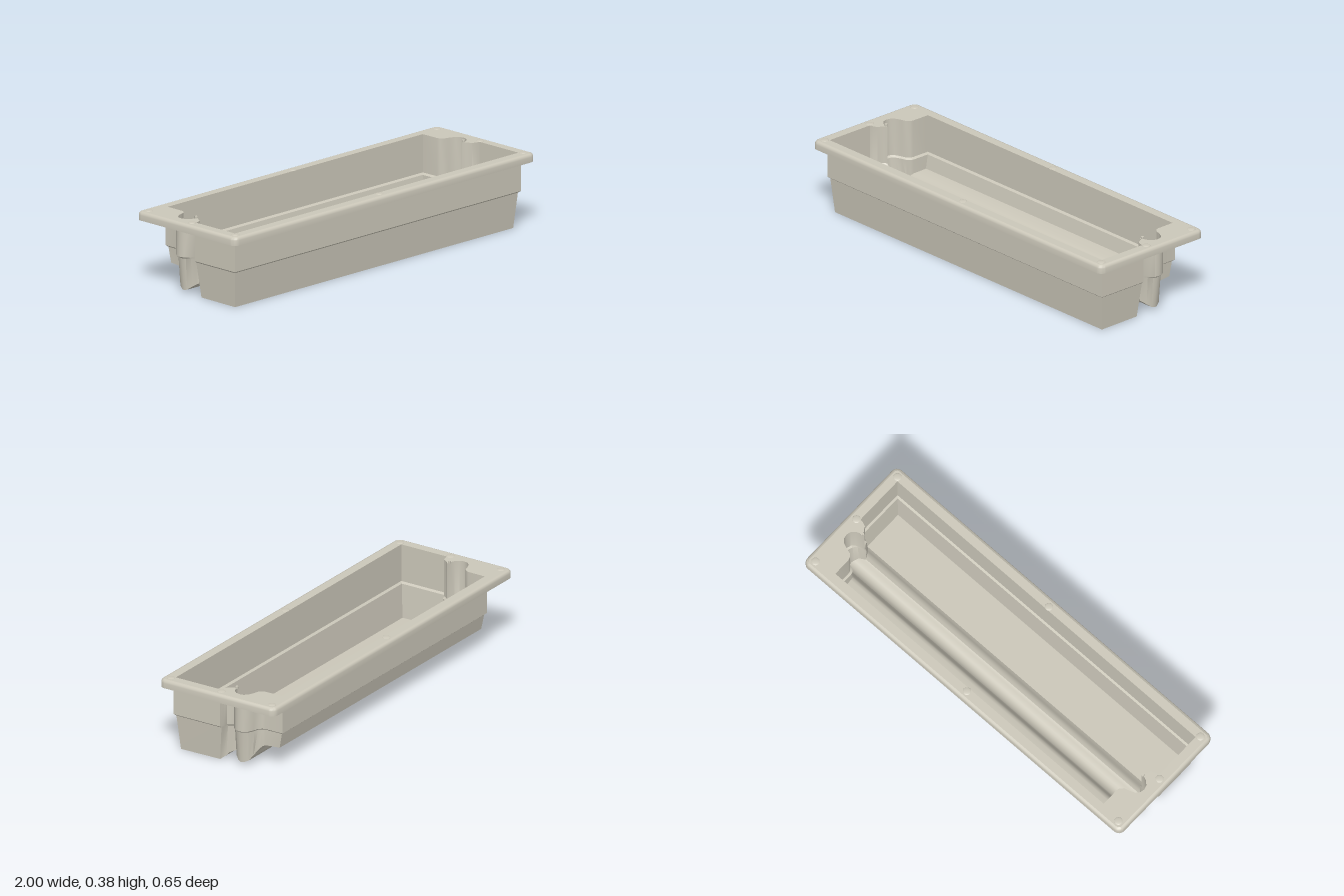
import * as THREE from 'three';
import { toCreasedNormals } from 'three/addons/utils/BufferGeometryUtils.js';

// Half outline of the tub from front to back: x, z at the mouth, then x, z, y at the floor
const KEYS = [
  [0.95, 0.275, 0.924, 0.25, 0.0], [0.95, 0.012, 0.924, 0.03, 0.002],
  [0.93, 0.008, 0.912, 0.022, 0.008], [0.912, 0, 0.9, 0.01, 0.018],
  [0.905, -0.015, 0.893, -0.003, 0.033], [0.895, -0.028, 0.885, -0.02, 0.042],
  [0.882, -0.036, 0.874, -0.035, 0.046], [0.9, -0.04, 0.885, -0.042, 0.042],
  [0.925, -0.05, 0.905, -0.05, 0.034], [0.942, -0.068, 0.918, -0.07, 0.018],
  [0.948, -0.09, 0.922, -0.085, 0.014], [0.944, -0.112, 0.92, -0.1, 0.015],
  [0.93, -0.13, 0.91, -0.122, 0.026], [0.9, -0.143, 0.89, -0.135, 0.048],
  [0.875, -0.15, 0.868, -0.148, 0.072], [0.86, -0.165, 0.85, -0.16, 0.087],
  [0.856, -0.18, 0.846, -0.175, 0.093], [0.855, -0.275, 0.842, -0.25, 0.097],
];
const WALL = 0.008, TOP = 0.366, UNDER = 0.357;

// Mirrors a half outline into a closed loop, counterclockwise from above
const mirror = (half) => [...half, ...half.slice().reverse().map(([x, y, z]) => [-x, y, z])];

// Loop at the mouth, shrunk by an inset
const mouthHalf = (y, inset) => KEYS.map(([x, z]) => [x - inset, y, z * (1 - inset / 0.275)]);
const floorHalf = (inset) =>
  KEYS.map(([, , x, z, y]) => [x - inset, y + inset, z * (1 - inset / 0.275)]);

function quad(out, a, b, c, d, flip) {
  if (flip) out.push(...a, ...c, ...b, ...a, ...d, ...c);
  else out.push(...a, ...b, ...c, ...a, ...c, ...d);
}

// Joins successive loops of equal length
function loft(out, rings, flip = false) {
  for (let r = 0; r + 1 < rings.length; r++) {
    const lo = rings[r], hi = rings[r + 1], n = lo.length;
    for (let i = 0; i < n; i++) {
      const j = (i + 1) % n;
      quad(out, lo[i], lo[j], hi[j], hi[i], flip);
    }
  }
}

function toGeometry(positions, crease) {
  const g = new THREE.BufferGeometry();
  g.setAttribute('position', new THREE.Float32BufferAttribute(positions, 3));
  return toCreasedNormals(g, crease);
}

// One skin of the tub: stepped walls and a contoured floor
function tubSkin(out, inset, topY, flip) {
  const floor = floorHalf(inset);
  loft(out, [
    mirror(floor),
    mirror(mouthHalf(0.172, inset + 0.01)),
    mirror(mouthHalf(0.18, inset)),
    mirror(mouthHalf(topY, inset)),
  ], flip);
  const left = floor.map(([x, y, z]) => [-x, y, z]);
  for (let i = 0; i + 1 < floor.length; i++) {
    quad(out, floor[i], left[i], left[i + 1], floor[i + 1], flip);
  }
}

// Rounded rectangle loop for the rim
function rimLoop(inset, y) {
  const pts = [], r = 0.032 - inset, steps = 6;
  const cx = 1 - 0.032, cz = 0.325 - 0.032;
  [[1, 1], [1, -1], [-1, -1], [-1, 1]].forEach(([sx, sz], corner) => {
    for (let i = 0; i <= steps; i++) {
      const a = (corner - 1 + i / steps) * Math.PI / 2;
      pts.push([sx * cx + r * Math.cos(a), y, sz * cz - r * Math.sin(a)]);
    }
  });
  return pts;
}

// Flat rim plate with the tub mouth cut out, facing up (dir 1) or down (dir -1)
function rimPlate(outer, hole, y, dir) {
  const pts = (loop) => loop.map(([x, , z]) => new THREE.Vector2(x, -dir * z));
  const shape = new THREE.Shape(pts(outer));
  shape.holes.push(new THREE.Path(pts(hole)));
  const g = new THREE.ShapeGeometry(shape);
  g.rotateX(-dir * Math.PI / 2);
  g.translate(0, y, 0);
  return g;
}

export function createModel() {
  const group = new THREE.Group();
  group.name = 'insetTray';
  const plastic = new THREE.MeshStandardMaterial({ color: 0xcbc7b9 });
  plastic.name = 'warm grey plastic';
  const add = (name, geometry, parent = group) => {
    const m = new THREE.Mesh(geometry, plastic);
    m.name = name;
    parent.add(m);
    return m;
  };

  // Tub, outside and inside
  const outside = [], inside = [];
  tubSkin(outside, 0, UNDER, false);
  tubSkin(inside, WALL, TOP, true);
  add('tubOutside', toGeometry(outside, 0.6));
  add('tubInside', toGeometry(inside, 0.6));

  // Rim: hollow skirt with a rounded upper edge, and its top plate
  const skirt = [];
  loft(skirt, [
    rimLoop(0.01, UNDER), rimLoop(0.01, 0.325), rimLoop(0, 0.325), rimLoop(0, 0.35),
    rimLoop(0.002, 0.357), rimLoop(0.007, 0.363), rimLoop(0.015, TOP),
  ]);
  add('rimSkirt', toGeometry(skirt, 0.7));
  add('rimTop', rimPlate(rimLoop(0.015, 0), mirror(mouthHalf(0, WALL)), TOP, 1));
  add('rimUnderside', rimPlate(rimLoop(0.01, 0), mirror(mouthHalf(0, 0)), UNDER, -1));

  // Low round studs around the rim
  const studs = new THREE.Group();
  studs.name = 'rimStuds';
  group.add(studs);
  const dome = new THREE.SphereGeometry(0.02, 20, 6, 0, Math.PI * 2, 0, Math.PI / 2);
  dome.scale(1, 0.2, 1);
  const spots = [[0, 0.284], [0, -0.284]];
  for (const s of [-1, 1]) for (const z of [-0.284, 0, 0.284]) spots.push([s * 0.957, z]);
  for (const [x, z] of spots) add('stud', dome, studs).position.set(x, TOP - 0.0005, z);

  // Small pegs on the necks beside the round bays
  const pegShape = new THREE.CylinderGeometry(0.007, 0.007, 0.012, 16);
  for (const s of [-1, 1]) add('peg', pegShape).position.set(s * 0.888, 0.37, -0.04);

  return group;
}
